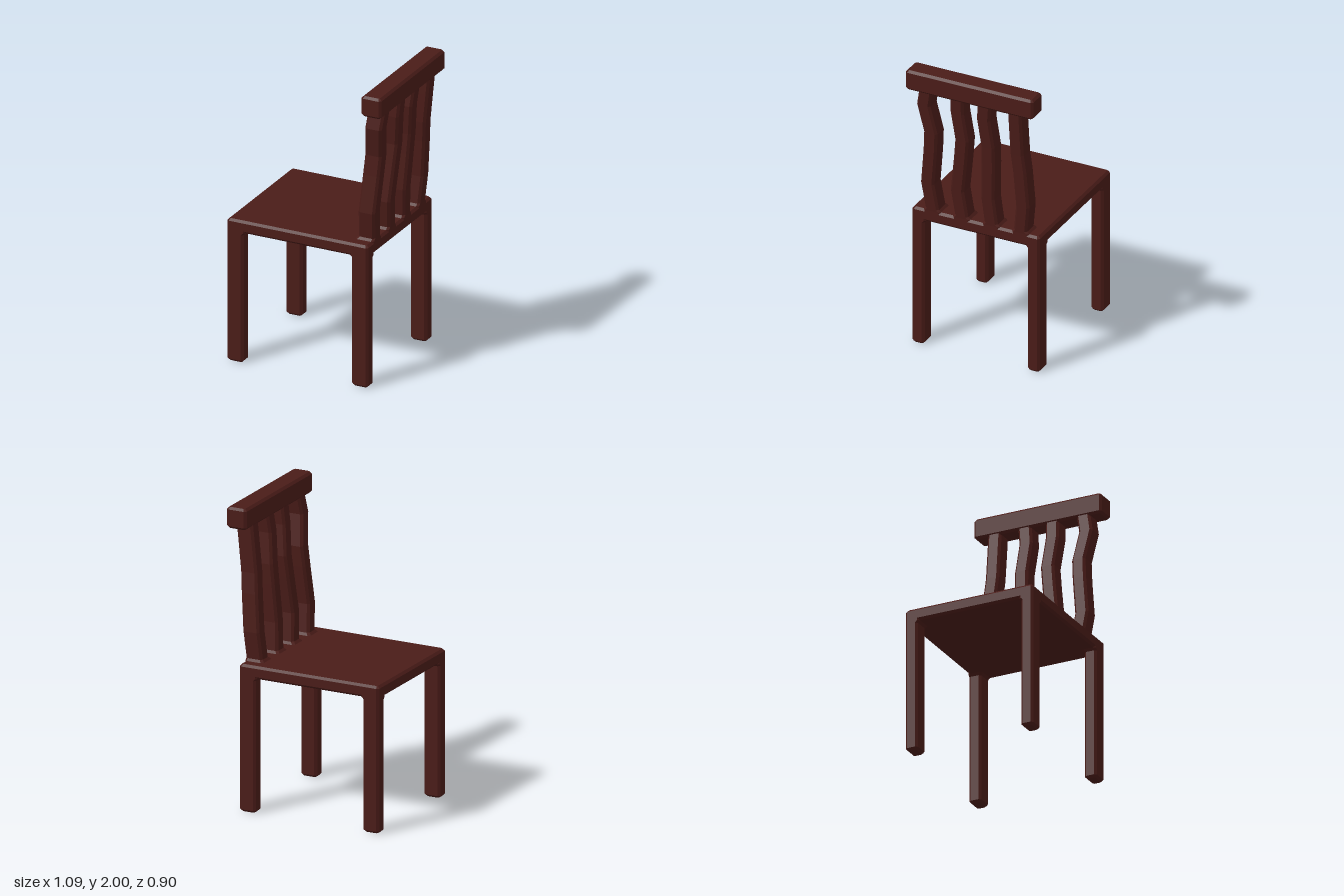
import * as THREE from 'three';

const C = 0.015; // chamfer size
const wood = new THREE.MeshStandardMaterial({ color: 0x4a1c18, flatShading: true });

// Chamfered rectangle in the xz plane at height y
function ring(y, x0, x1, z0, z1, c = C) {
  return [
    [x1, z0 + c], [x1, z1 - c], [x1 - c, z1], [x0 + c, z1],
    [x0, z1 - c], [x0, z0 + c], [x0 + c, z0], [x1 - c, z0],
  ].map(([x, z]) => [x, y, z]);
}

// Joins rings from bottom to top into a closed solid
function loft(name, rings) {
  const n = rings[0].length;
  const pos = [];
  const tri = (a, b, c) => pos.push(...a, ...b, ...c);
  for (let i = 0; i < rings.length - 1; i++) {
    for (let j = 0; j < n; j++) {
      const k = (j + 1) % n;
      const a = rings[i][j], b = rings[i][k], c = rings[i + 1][k], d = rings[i + 1][j];
      tri(a, d, c);
      tri(a, c, b);
    }
  }
  const low = rings[0], top = rings[rings.length - 1];
  for (let j = 1; j < n - 1; j++) {
    tri(low[0], low[j], low[j + 1]);
    tri(top[0], top[j + 1], top[j]);
  }
  const geo = new THREE.BufferGeometry();
  geo.setAttribute('position', new THREE.Float32BufferAttribute(pos, 3));
  geo.computeVertexNormals();
  const mesh = new THREE.Mesh(geo, wood);
  mesh.name = name;
  return mesh;
}

// Box with every edge chamfered
function chamferBox(name, x0, x1, y0, y1, z0, z1) {
  const inset = (y) => ring(y, x0 + C, x1 - C, z0 + C, z1 - C, C / 2);
  return loft(name, [inset(y0), ring(y0 + C, x0, x1, z0, z1), ring(y1 - C, x0, x1, z0, z1), inset(y1)]);
}

export function createModel() {
  const chair = new THREE.Group();
  chair.name = 'chair';

  // Seat slab and top rail
  const X0 = -0.545, X1 = 0.45, Z = 0.45;
  chair.add(chamferBox('seat', X0, X1, 0.89, 0.975, -Z, Z));
  chair.add(chamferBox('topRail', 0.402, 0.542, 1.86, 2, -Z, Z));

  // Legs: flush with the seat outside, flared on the inner sides at the joint
  for (const front of [true, false]) {
    for (const left of [true, false]) {
      const leg = (y, grow, trim = 0) => {
        const w = 0.115 + grow, d = 0.085 + grow;
        const x0 = front ? X0 : X1 - w, x1 = front ? X0 + w : X1;
        const z0 = left ? Z - d : -Z, z1 = left ? Z : -Z + d;
        return ring(y, x0 + trim, x1 - trim, z0 + trim, z1 - trim, trim ? C / 2 : C);
      };
      chair.add(loft((front ? 'front' : 'back') + (left ? 'Left' : 'Right') + 'Leg',
        [leg(0, 0, C), leg(C, 0), leg(0.875, 0), leg(0.89, C), leg(0.905, C)]));
    }
  }

  // Back slats: wavy sideways, leaning back, with a flared foot
  const heights = [0.99, 1.17, 1.42, 1.555, 1.755, 1.87];
  const lean = [0.335, 0.347, 0.365, 0.376, 0.396, 0.408];
  const waves = [
    [0.31, 0.337, 0.31, 0.3, 0.34, 0.318],
    [0.103, 0.127, 0.095, 0.08, 0.103, 0.1],
    [-0.106, -0.088, -0.1, -0.103, -0.082, -0.095],
    [-0.313, -0.334, -0.322, -0.309, -0.308, -0.308],
  ];
  const H = 0.047; // half width
  waves.forEach((wave, s) => {
    const foot = (y) => ring(y, 0.32, X1, wave[0] - H - C, wave[0] + H + C);
    const shaft = heights.map((y, i) =>
      ring(y, lean[i], lean[i] + 0.116, wave[i] - H, wave[i] + H));
    chair.add(loft('backSlat' + (s + 1), [foot(0.96), foot(0.975), ...shaft]));
  });

  return chair;
}
